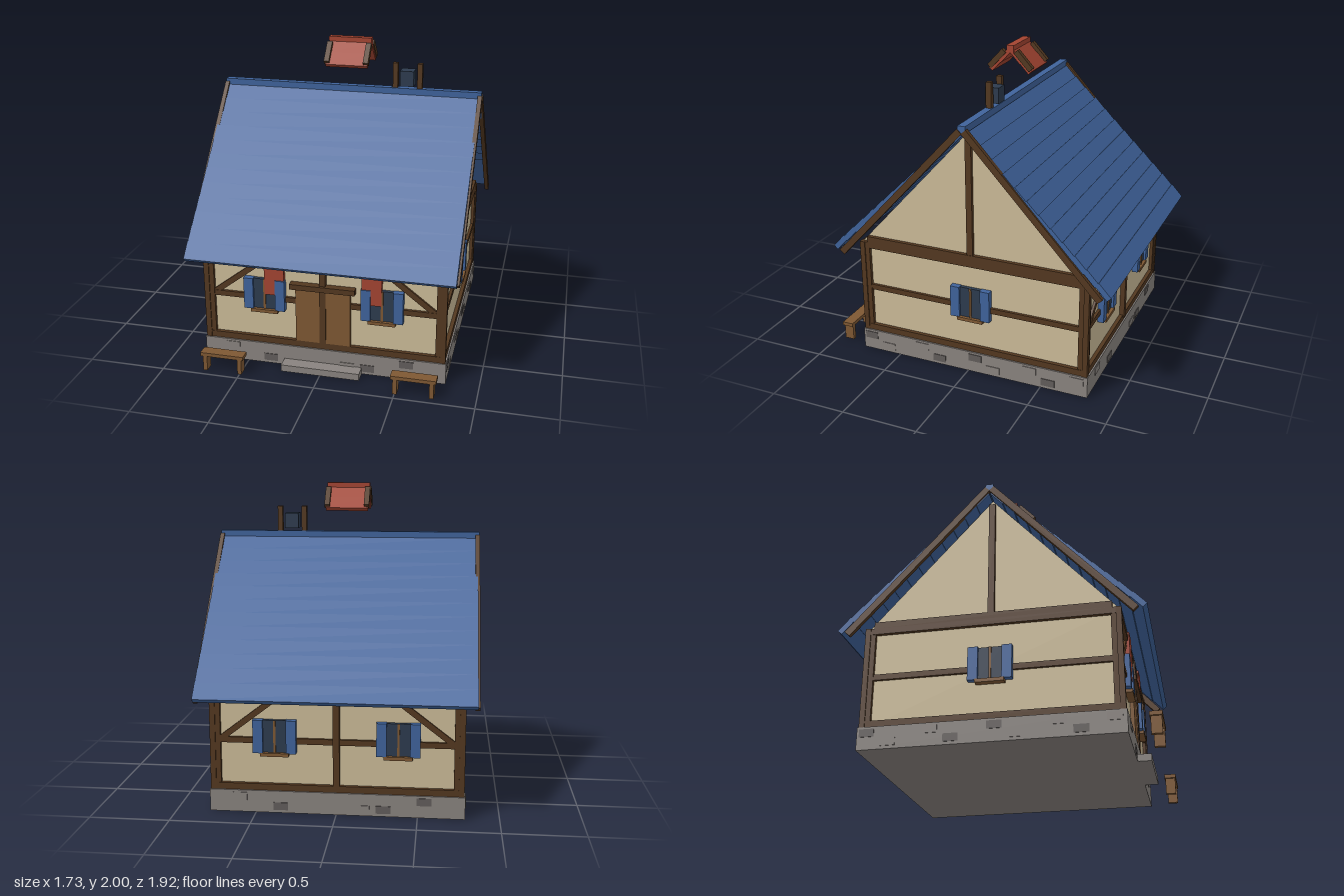
import * as THREE from 'three';

const mat = (name, hex) => {
  const m = new THREE.MeshStandardMaterial({ color: hex });
  m.name = name;
  return m;
};

export function createModel() {
  const plaster = mat('plaster', 0xcbbb98);
  const timber = mat('timber', 0x533820);
  const wood = mat('light wood', 0x7e5833);
  const blue = mat('roof blue', 0x3f639b);
  const red = mat('red', 0xa34431);
  const glass = mat('dark glass', 0x2d3b4e);
  const stone = mat('stone', 0x89837f);
  const darkStone = mat('dark stone', 0x625d5b);

  const model = new THREE.Group();
  model.name = 'house';
  // Everything is symmetric about the ridge, which sits slightly behind the centre
  const house = new THREE.Group();
  house.name = 'building';
  house.position.z = -0.02;
  model.add(house);

  const box = (parent, name, m, w, h, d, x, y, z) => {
    const mesh = new THREE.Mesh(new THREE.BoxGeometry(w, h, d), m);
    mesh.name = name;
    mesh.position.set(x, y, z);
    parent.add(mesh);
    return mesh;
  };

  // Base and walls
  box(house, 'foundation', stone, 1.58, 0.14, 1.58, 0, 0.07, 0);
  box(house, 'walls', plaster, 1.51, 0.64, 1.51, 0, 0.46, 0);

  // Gable prism, running along x
  const tri = new THREE.Shape();
  tri.moveTo(-0.77, 0.78);
  tri.lineTo(0.77, 0.78);
  tri.lineTo(0, 1.62);
  tri.closePath();
  const gable = new THREE.Mesh(
    new THREE.ExtrudeGeometry(tri, { depth: 1.51, bevelEnabled: false }).translate(0, 0, -0.755), plaster);
  gable.rotation.y = Math.PI / 2;
  gable.name = 'gable';
  house.add(gable);

  // Window with shutters, facing +z
  const addWindow = (wall, x) => {
    const g = new THREE.Group();
    g.name = 'window';
    g.position.x = x;
    wall.add(g);
    box(g, 'pane', glass, 0.15, 0.205, 0.03, 0, 0.488, 0.764);
    box(g, 'mullion', wood, 0.014, 0.205, 0.01, 0, 0.488, 0.781);
    box(g, 'windowSill', wood, 0.175, 0.022, 0.05, 0, 0.375, 0.775);
    for (const s of [-1, 1]) {
      box(g, 'shutter', blue, 0.062, 0.21, 0.04, s * 0.103, 0.488, 0.775);
    }
  };

  // Stones: position along the wall, upper row or lower row, dark or light
  const frontStones = [[-0.6, 1, 0], [-0.345, 0, 1], [0.16, 0, 0], [0.29, 0, 1], [0.54, 1, 1]];
  const sideStones = [[-0.73, 1, 1], [-0.6, 0, 0], [-0.35, 1, 0], [-0.225, 0, 1], [0.03, 1, 1],
    [0.155, 0, 0], [0.405, 1, 0], [0.53, 0, 1], [0.72, 1, 0]];

  // Four timber-framed sides: front, right, back, left
  ['front', 'leftSide', 'back', 'rightSide'].forEach((name, k) => {
    const wall = new THREE.Group();
    wall.name = name + 'Wall';
    wall.rotation.y = k * Math.PI / 2;
    house.add(wall);
    const long = k % 2 === 0;

    box(wall, 'groundBeam', timber, 1.5, 0.042, 0.04, 0, 0.16, 0.76);
    box(wall, 'topBeam', timber, 1.5, 0.04, 0.04, 0, 0.76, 0.76);
    if (k === 0) {
      for (const s of [-1, 1]) box(wall, 'middleRail', timber, 0.57, 0.036, 0.03, s * 0.46, 0.458, 0.758);
    } else {
      box(wall, 'middleRail', timber, 1.5, 0.036, 0.03, 0, 0.458, 0.758);
    }
    for (const s of [-1, 1]) {
      box(wall, 'sidePost', timber, 0.034, 0.64, 0.04, s * 0.736, 0.46, 0.757);
    }
    box(wall, 'cornerPost', timber, 0.034, 0.64, 0.034, 0.767, 0.46, 0.767);

    if (long) {
      box(wall, 'centrePost', timber, 0.04, 0.6, 0.045, 0, 0.46, 0.765);
      for (const s of [-1, 1]) {
        addWindow(wall, s * 0.38);
        const brace = box(wall, 'brace', timber, 0.45, 0.036, 0.026, s * 0.54, 0.6, 0.757);
        brace.rotation.z = -s * 0.655;
      }
    } else {
      addWindow(wall, 0);
      box(wall, 'gableBeam', timber, 1.46, 0.042, 0.04, 0, 0.8, 0.76);
      box(wall, 'gablePost', timber, 0.04, 0.8, 0.035, 0, 1.185, 0.76);
    }
    for (const [x, up, dark] of long ? frontStones : sideStones) {
      box(wall, 'foundationStone', dark ? darkStone : stone, 0.09, 0.048, 0.02, x, up ? 0.102 : 0.043, 0.784);
    }
  });

  // Front door, hanging red panels and step
  box(house, 'door', wood, 0.355, 0.37, 0.03, 0, 0.365, 0.765);
  box(house, 'doorLintel', timber, 0.42, 0.035, 0.06, 0, 0.568, 0.775);
  for (const s of [-1, 1]) {
    box(house, 'redPanel', red, 0.128, 0.31, 0.03, s * 0.314, 0.645, 0.773);
  }
  box(house, 'doorStep', stone, 0.51, 0.045, 0.12, 0, 0.0225, 0.815);

  // Sloping board; s is the side of the ridge it lies on
  const PITCH = 47.2 * Math.PI / 180;
  const slopeBoard = (parent, name, m, s, w, thick, len, x, y, z) => {
    box(parent, name, m, w, thick, len, x, y, s * z).rotation.x = s * PITCH;
  };

  // Main roof: overlapping boards, verge beams and ridge
  const roof = new THREE.Group();
  roof.name = 'roof';
  house.add(roof);
  box(roof, 'ridgeBeam', blue, 1.716, 0.05, 0.05, 0, 1.657, 0);
  for (const s of [-1, 1]) {
    for (let i = 0; i < 12; i++) {
      slopeBoard(roof, 'roofBoard', blue, s, 1.7, 0.036, 0.115, 0, 0.782 + 0.0733 * i, 0.886 - 0.0755 * i);
    }
    for (const e of [-1, 1]) {
      slopeBoard(roof, 'vergeBeam', timber, s, 0.028, 0.042, 1.265, e * 0.849, 1.185, 0.443);
    }
  }

  // Small red roof above the ridge
  const cap = new THREE.Group();
  cap.name = 'smallRoof';
  house.add(cap);
  box(cap, 'smallRidge', red, 0.28, 0.05, 0.05, 0, 1.975, 0);
  for (const s of [-1, 1]) {
    for (let i = 0; i < 2; i++) {
      slopeBoard(cap, 'smallRoofBoard', red, s, 0.274, 0.03, 0.09, 0, 1.866 + 0.06 * i, 0.105 - 0.06 * i);
    }
    for (const e of [-1, 1]) {
      slopeBoard(cap, 'smallVergeBeam', timber, s, 0.034, 0.036, 0.15, e * 0.128, 1.908, 0.092);
    }
  }

  // Dark block held between two posts on the ridge
  box(house, 'ridgeBlock', glass, 0.09, 0.1, 0.09, 0.378, 1.75, 0);
  for (const s of [-1, 1]) {
    box(house, 'ridgePost', timber, 0.033, 0.18, 0.036, 0.378 + s * 0.08, 1.755, 0);
  }

  // Benches
  for (const s of [-1, 1]) {
    const bench = new THREE.Group();
    bench.name = 'bench';
    bench.position.set(s * 0.615, 0, 0.922);
    model.add(bench);
    box(bench, 'benchSeat', wood, 0.284, 0.024, 0.074, 0, 0.115, 0);
    for (const e of [-1, 1]) {
      box(bench, 'benchLeg', wood, 0.027, 0.104, 0.064, e * 0.114, 0.052, 0);
    }
  }
  return model;
}
